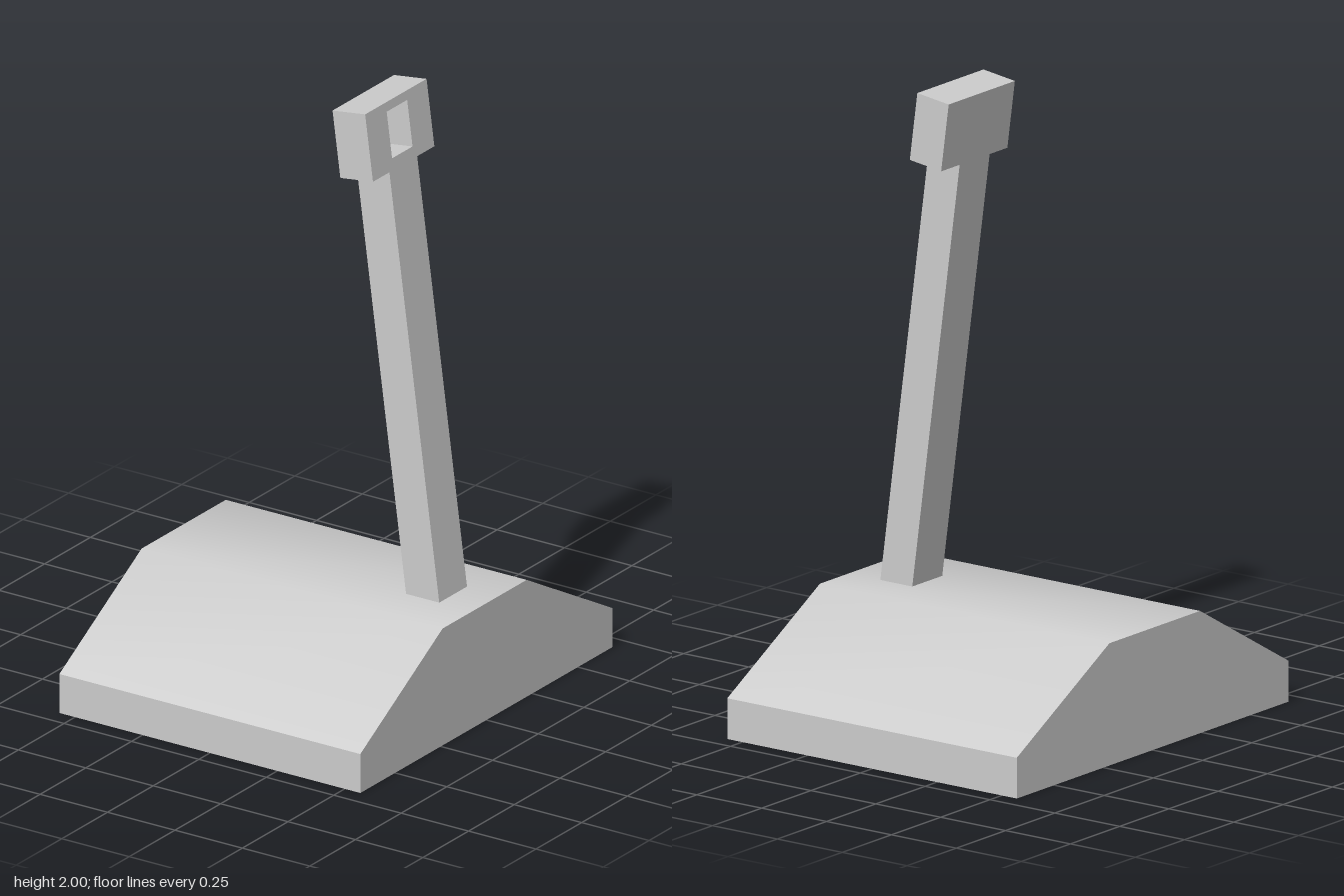
import * as THREE from 'three';
import { toCreasedNormals } from 'three/addons/utils/BufferGeometryUtils.js';

const material = new THREE.MeshStandardMaterial({ color: 0xcccccc });

function polygon(points, Type = THREE.Shape) {
  return new Type(points.map(([x, y]) => new THREE.Vector2(x, y)));
}

// Extrudes a (-z, y) outline along +x, starting at x0.
function extrudeAlongX(shape, x0, width) {
  const geometry = new THREE.ExtrudeGeometry(shape, { depth: width, bevelEnabled: false });
  return geometry.rotateY(Math.PI / 2).translate(x0, 0, 0);
}

function addMesh(parent, name, geometry) {
  const mesh = new THREE.Mesh(geometry, material);
  mesh.name = name;
  parent.add(mesh);
  return mesh;
}

export function createModel() {
  const model = new THREE.Group();
  model.name = 'leverSwitch';

  // Base: wedge-sided block whose slopes blend softly into the top
  const profile = polygon([
    [-0.69, 0], [0.69, 0], [0.69, 0.13], [0.22, 0.39], [-0.24, 0.39], [-0.69, 0.13],
  ]);
  addMesh(model, 'base', toCreasedNormals(extrudeAlongX(profile, -0.558, 1.116), 0.7));

  // Leaning lever, hung from the upper +x edge of its head
  const lever = new THREE.Group();
  lever.name = 'lever';
  lever.position.set(0.222, 2, 0);
  lever.rotation.z = 0.132;
  model.add(lever);

  const thickness = 0.122;
  const headHeight = 0.22;
  const mastLength = 1.41;
  const wall = 0.012;

  const mast = new THREE.BoxGeometry(thickness, mastLength, 0.152);
  mast.translate(-thickness / 2, -headHeight - mastLength / 2, 0.002);
  addMesh(lever, 'mast', mast);

  // Head: frame around a deep rectangular pocket, closed by a thin back wall
  const frame = polygon([
    [-0.168, -headHeight], [0.168, -headHeight], [0.168, 0], [-0.168, 0],
  ]);
  frame.holes.push(polygon([
    [-0.056, -0.182], [-0.056, -0.03], [0.056, -0.03], [0.056, -0.182],
  ], THREE.Path));
  addMesh(lever, 'headFrame', extrudeAlongX(frame, -thickness + wall, thickness - wall));

  const back = new THREE.BoxGeometry(wall, headHeight, 0.336);
  back.translate(-thickness + wall / 2, -headHeight / 2, 0);
  addMesh(lever, 'headBackWall', back);

  return model;
}
